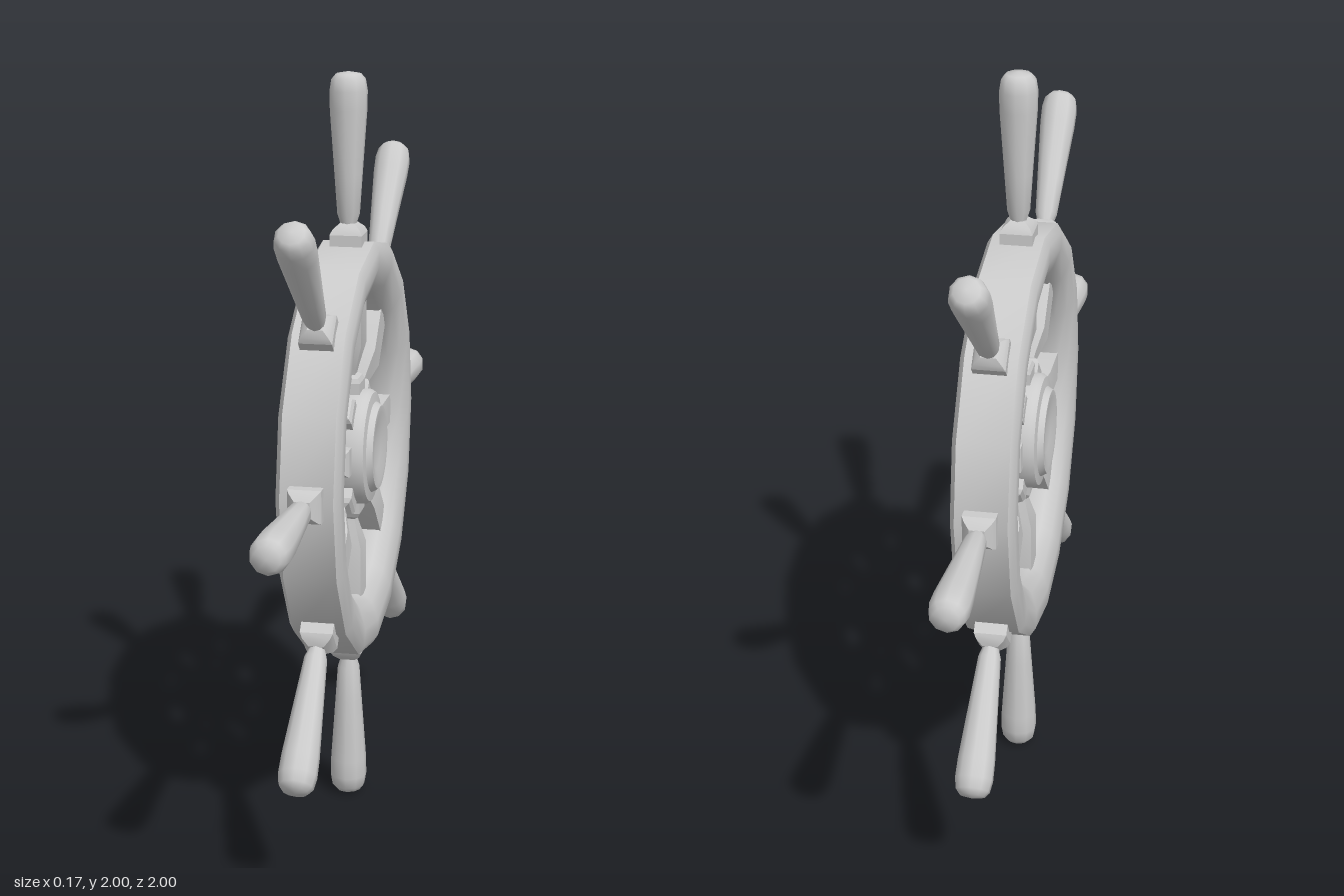
import * as THREE from 'three';
import { toCreasedNormals } from 'three/addons/utils/BufferGeometryUtils.js';

const material = new THREE.MeshStandardMaterial({ color: 0xcccccc });

// Turned part: profile of [radius, height] pairs, listed upwards on the outside
function turned(profile, sides, crease = 0.7) {
  const points = profile.map(([r, y]) => new THREE.Vector2(r, y));
  return toCreasedNormals(new THREE.LatheGeometry(points, sides), crease);
}

// Square-section part: profile of [half width, height] pairs
function squared(profile) {
  const geometry = turned(profile.map(([w, y]) => [w * Math.SQRT2, y]), 4, 0.4);
  return geometry.rotateY(Math.PI / 4);
}

function addMesh(parent, name, geometry) {
  const mesh = new THREE.Mesh(geometry, material);
  mesh.name = name;
  parent.add(mesh);
  return mesh;
}

export function createModel() {
  const model = new THREE.Group();
  model.name = 'shipWheel';
  const wheel = new THREE.Group();
  wheel.name = 'wheel';
  wheel.position.y = 1;
  model.add(wheel);

  // Sixteen-sided rim: flat outer band, rounded faces and inside
  const half = [[0.557, 0.068], [0.535, 0.082], [0.49, 0.082], [0.44, 0.065], [0.415, 0.035]];
  const mirrored = half.map(([r, y]) => [r, -y]).reverse();
  const rimProfile = [...half, ...mirrored, half[0]];
  addMesh(wheel, 'rim', turned(rimProfile, 16, 0.8).rotateZ(Math.PI / 2));

  // Hub: drum with a raised, slightly dished boss on each side
  const face = [[0.155, 0.055], [0.147, 0.066], [0.122, 0.07], [0.112, 0.086],
    [0.095, 0.086], [0.06, 0.077], [0, 0.072]];
  const hubProfile = [...face.map(([r, y]) => [r, -y]).reverse(), ...face];
  addMesh(wheel, 'hub', turned(hubProfile, 32).rotateZ(Math.PI / 2));

  // Spoke: square collars and baluster, with a round handle
  const balusterGeometry = squared([
    [0.037, 0.12], [0.037, 0.18], [0.031, 0.192], [0.02, 0.2],
    [0.023, 0.215], [0.041, 0.28], [0.041, 0.45],
  ]);
  const collarGeometry = squared([
    [0.043, 0.5], [0.043, 0.578], [0.036, 0.592], [0.02, 0.606], [0, 0.606],
  ]);
  const handleGeometry = turned([
    [0.02, 0.59], [0.022, 0.605], [0.03, 0.63], [0.037, 0.73], [0.049, 0.9],
    [0.05, 0.95], [0.045, 0.98], [0.033, 0.994], [0, 1],
  ], 10, 0.9);

  for (let i = 0; i < 8; i++) {
    const spoke = new THREE.Group();
    spoke.name = `spoke${i + 1}`;
    spoke.rotation.x = (i * Math.PI) / 4;
    addMesh(spoke, 'baluster', balusterGeometry);
    addMesh(spoke, 'collar', collarGeometry);
    addMesh(spoke, 'handle', handleGeometry);
    wheel.add(spoke);
  }
  return model;
}
